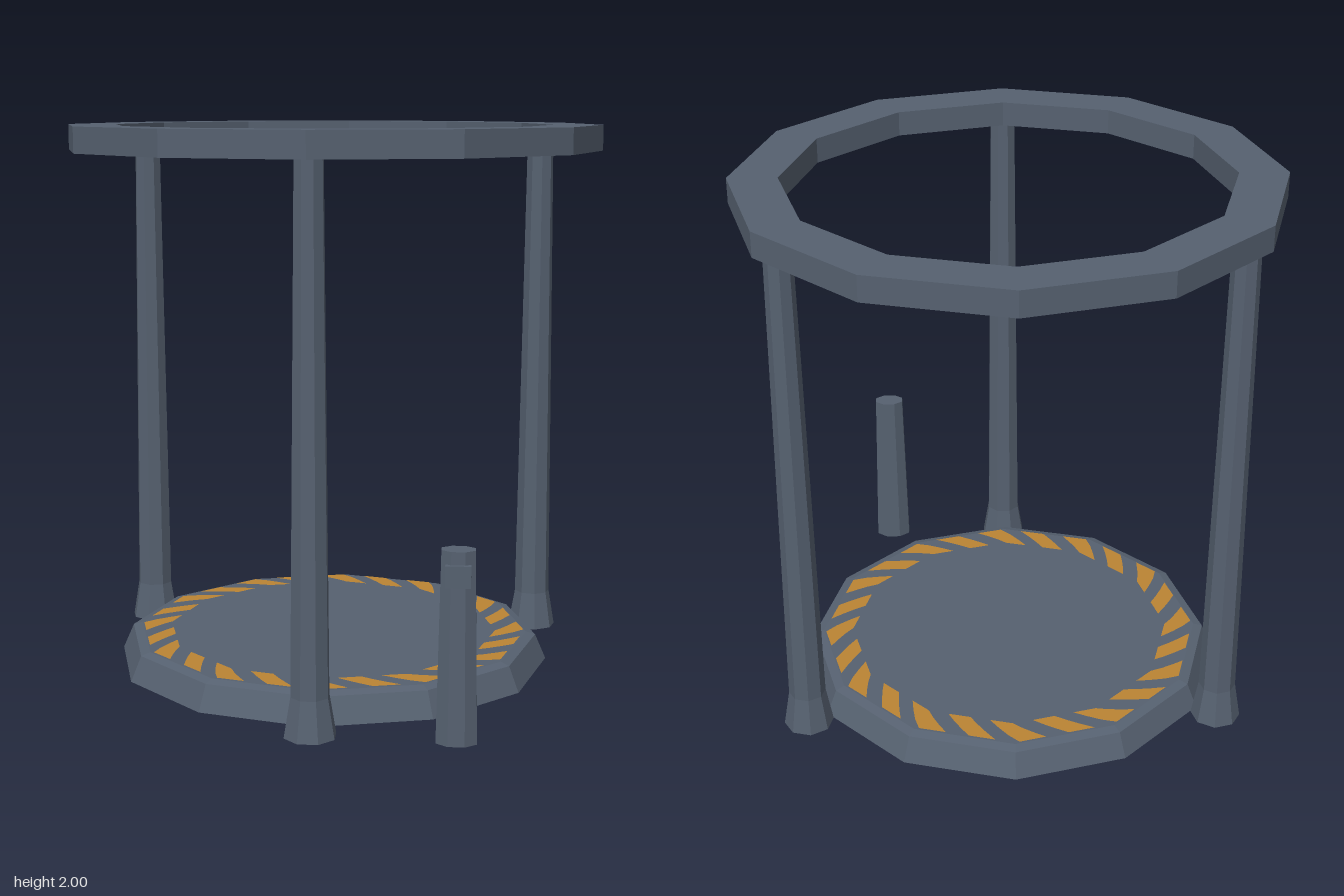
import * as THREE from 'three';

const frame = new THREE.MeshStandardMaterial({ color: 0x566170 });
frame.name = 'slateMetal';
const hazard = new THREE.MeshStandardMaterial({ color: 0xbb8433 });
hazard.name = 'amberPaint';
const glow = new THREE.MeshStandardMaterial({ color: 0x92b8b6 });
glow.name = 'paleTeal';

// Faceted mesh: unshared vertices give one normal per face
function part(name, geometry, material) {
  const g = geometry.index ? geometry.toNonIndexed() : geometry;
  g.computeVertexNormals();
  const mesh = new THREE.Mesh(g, material);
  mesh.name = name;
  return mesh;
}

// Profile of [radius, height] pairs turned around y
function turned(points, sides) {
  return new THREE.LatheGeometry(points.map(([r, y]) => new THREE.Vector2(r, y)), sides);
}

// Radius of a twelve-sided outline with corner radius R at angle a
function edgeRadius(R, a) {
  const step = Math.PI / 6;
  const local = ((a % step) + step) % step;
  return (R * Math.cos(step / 2)) / Math.cos(local - step / 2);
}

// Slanted stripes lying on the platform
function stripeGeometry() {
  const count = 24, pitch = (Math.PI * 2) / count, width = 0.14, slant = 0.17;
  const across = 4, deep = 3, y = 0.105, verts = [];
  const point = (i, u, v) => {
    const a = 0.1 + i * pitch + u * width + v * slant;
    const r = edgeRadius(0.73 + (0.62 - 0.73) * v, a);
    return [r * Math.sin(a), y, -r * Math.cos(a)];
  };
  for (let i = 0; i < count; i++) {
    for (let j = 0; j < across; j++) {
      for (let k = 0; k < deep; k++) {
        const a = point(i, j / across, k / deep);
        const b = point(i, (j + 1) / across, k / deep);
        const c = point(i, (j + 1) / across, (k + 1) / deep);
        const d = point(i, j / across, (k + 1) / deep);
        verts.push(...a, ...c, ...b, ...a, ...d, ...c);
      }
    }
  }
  const g = new THREE.BufferGeometry();
  g.setAttribute('position', new THREE.Float32BufferAttribute(verts, 3));
  return g;
}

export function createModel() {
  const model = new THREE.Group();
  model.name = 'platformGate';

  // Floor platform with bevelled rim
  model.add(part('platform', turned(
    [[0, 0], [0.81, 0], [0.77, 0.092], [0.735, 0.102], [0, 0.102]], 12), frame));
  model.add(part('hazardStripes', stripeGeometry(), hazard));

  // Overhead ring and its coloured underside
  model.add(part('overheadRing', turned(
    [[0.978, 1.908], [0.978, 2], [0.8, 2], [0.8, 1.908]], 12), frame));
  const under = new THREE.RingGeometry(0.8, 0.978, 12);
  under.rotateX(Math.PI / 2).translate(0, 1.908, 0);
  model.add(part('ringUnderside', under, glow));

  // Three flared columns
  for (let i = 0; i < 3; i++) {
    const g = turned([[0, 0], [0.092, 0], [0.068, 0.14], [0.05, 1.91], [0, 1.91]], 8);
    g.rotateY(Math.PI / 8).translate(0, 0, 0.887).rotateY((i * Math.PI * 2) / 3);
    model.add(part('column' + (i + 1), g, frame));
  }

  // Control post with a small panel
  const post = new THREE.Group();
  post.name = 'controlPost';
  const body = turned([[0, 0], [0.074, 0], [0.06, 0.656], [0, 0.656]], 8);
  body.rotateY(Math.PI / 8).scale(1, 1, 0.74);
  post.add(part('postBody', body, frame));
  const panel = new THREE.BoxGeometry(0.084, 0.074, 0.03);
  panel.translate(0, 0.575, 0.039);
  post.add(part('postPanel', panel, frame));
  post.position.set(0.487, 0, 0.903);
  model.add(post);

  return model;
}
